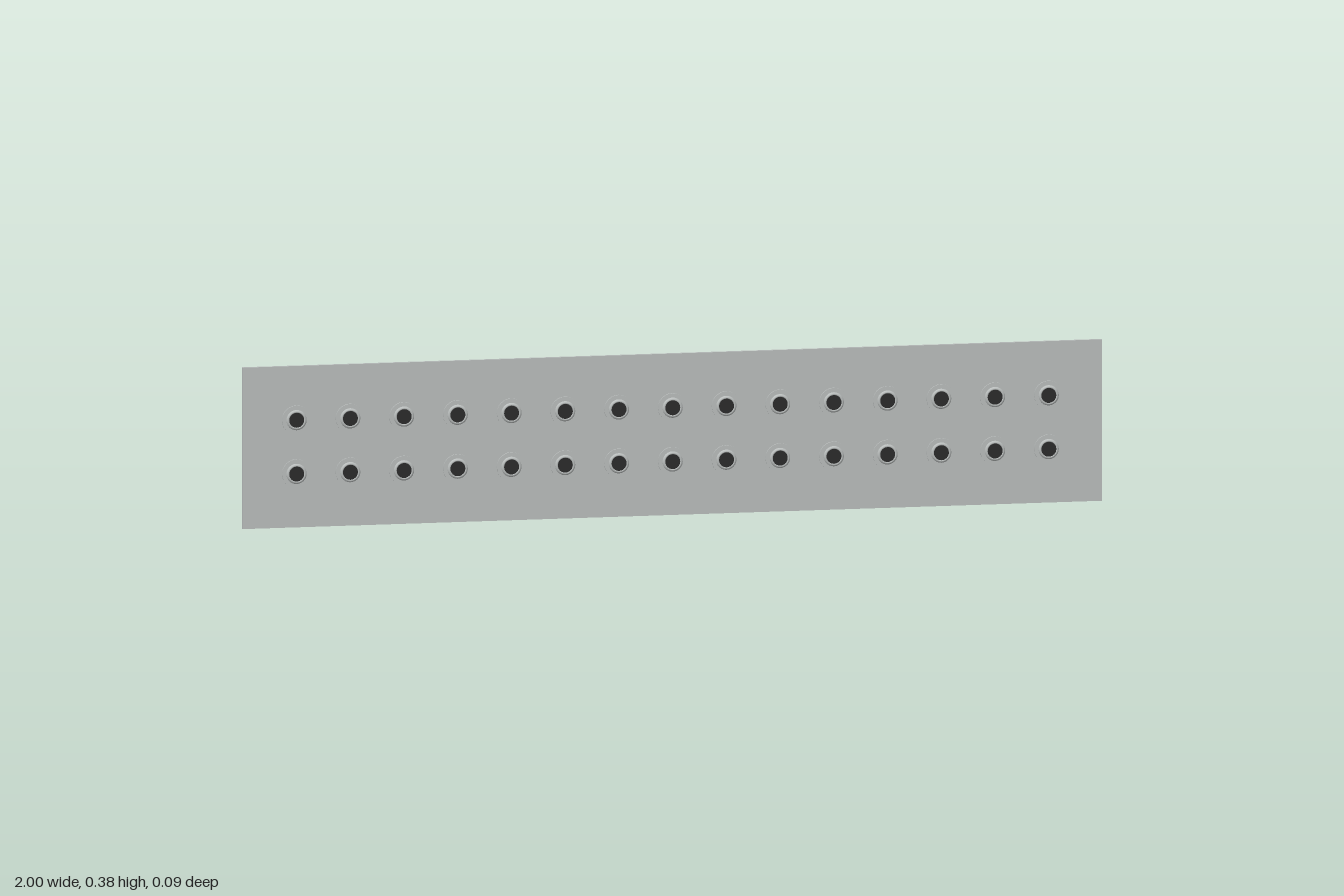
import * as THREE from 'three';

export function createModel() {
  const grey = new THREE.MeshStandardMaterial({ color: 0xbbbfbe });
  grey.name = 'light grey metal';
  const dark = new THREE.MeshStandardMaterial({ color: 0x2c2c2c });
  dark.name = 'dark rubber';

  const model = new THREE.Group();
  model.name = 'nozzlePanel';

  // Box given by its limits, symmetric in x
  function slab(name, halfX, y0, y1, z0, z1, material) {
    const mesh = new THREE.Mesh(new THREE.BoxGeometry(2 * halfX, y1 - y0, z1 - z0), material);
    mesh.position.set(0, (y0 + y1) / 2, (z0 + z1) / 2);
    mesh.name = name;
    model.add(mesh);
  }

  slab('frontPlate', 1, 0, 0.375, 0.03, 0.037, grey);
  slab('housing', 0.975, 0.027, 0.35, -0.0385, 0.03, grey);
  slab('backSpacer', 0.95, 0.05, 0.327, -0.041, -0.0385, dark);
  slab('backPanel', 0.971, 0.031, 0.346, -0.0435, -0.041, dark);

  // Nozzle: wide flange, raised rounded rim and a shallow well, turned to face +z
  const flangeGeometry = new THREE.CylinderGeometry(0.0335, 0.0335, 0.0035, 24).rotateX(Math.PI / 2);
  const rimProfile = [
    [0.0235, 0], [0.0235, 0.0015], [0.0215, 0.0036], [0.0195, 0.0044], [0.0178, 0.0042], [0.0172, 0.0028],
  ].map(([r, h]) => new THREE.Vector2(r, h));
  const rimGeometry = new THREE.LatheGeometry(rimProfile, 24).rotateX(Math.PI / 2);
  const coreGeometry = new THREE.CylinderGeometry(0.0176, 0.0176, 0.0032, 24).rotateX(Math.PI / 2);

  const nozzles = new THREE.Group();
  nozzles.name = 'nozzles';
  model.add(nozzles);

  for (const y of [0.125, 0.25]) {
    for (let i = -7; i <= 7; i++) {
      const nozzle = new THREE.Group();
      nozzle.name = 'nozzle';
      const flange = new THREE.Mesh(flangeGeometry, grey);
      flange.name = 'nozzleFlange';
      flange.position.z = 0.00175;
      const rim = new THREE.Mesh(rimGeometry, grey);
      rim.name = 'nozzleRim';
      rim.position.z = 0.0035;
      const core = new THREE.Mesh(coreGeometry, dark);
      core.name = 'nozzleOpening';
      core.position.z = 0.0051;
      nozzle.add(flange, rim, core);
      nozzle.position.set(i * 0.125, y, 0.037);
      nozzles.add(nozzle);
    }
  }
  return model;
}
